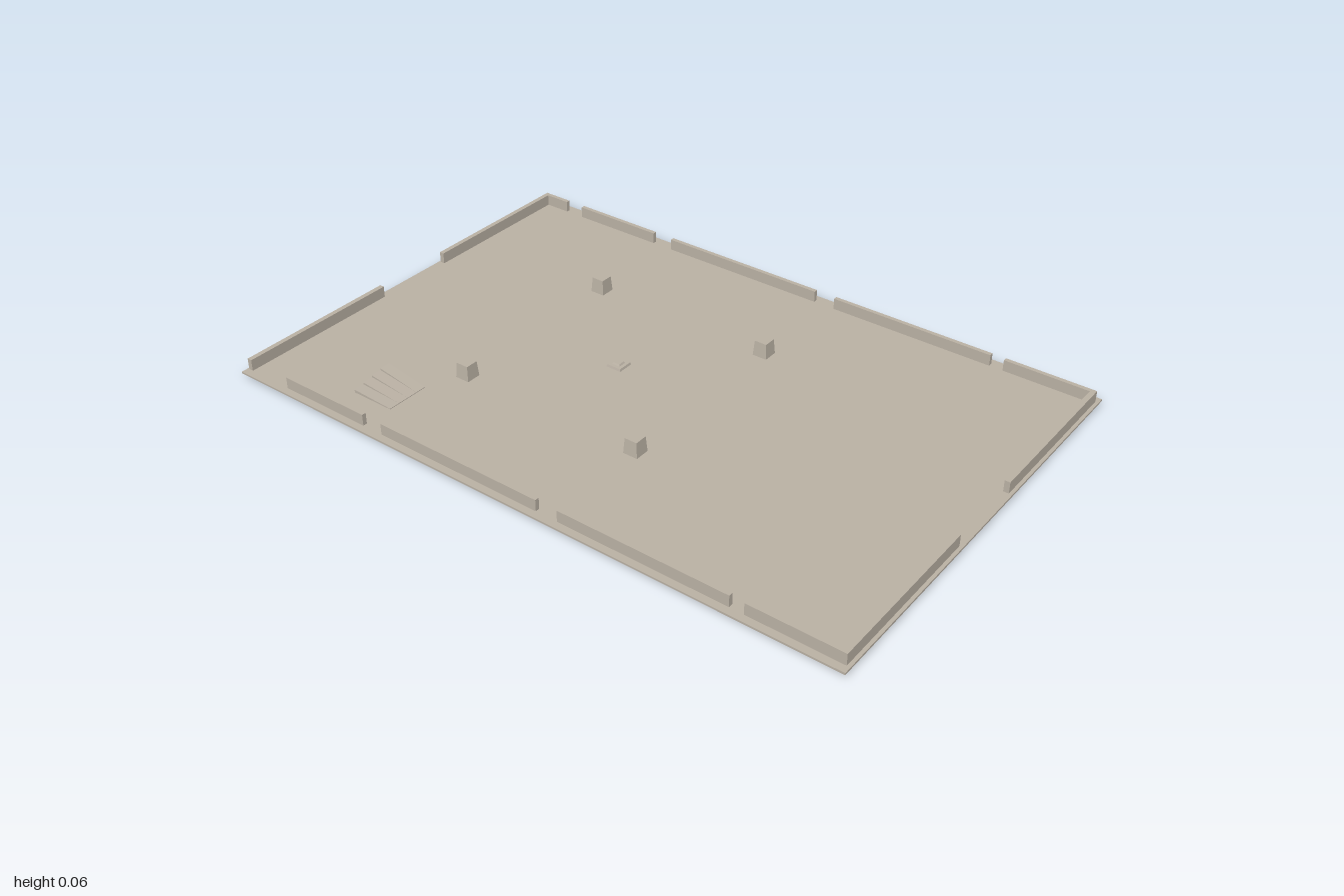
import * as THREE from 'three';

export function createModel() {
  const model = new THREE.Group();
  model.name = 'arenaFloor';
  const stone = new THREE.MeshStandardMaterial({ color: 0xb9b0a3 });
  stone.name = 'warm grey stone';
  const FLOOR = 0.018;

  const add = (name, geometry) => {
    const mesh = new THREE.Mesh(geometry, stone);
    mesh.name = name;
    model.add(mesh);
    return mesh;
  };
  // Box given by its limits on each axis
  const block = (name, x0, x1, y0, y1, z0, z1) =>
    add(name, new THREE.BoxGeometry(x1 - x0, y1 - y0, z1 - z0))
      .position.set((x0 + x1) / 2, (y0 + y1) / 2, (z0 + z1) / 2);
  // Square block that narrows from base to top
  const taper = (name, base, top, y0, y1, x, z) => {
    const g = new THREE.CylinderGeometry(top / Math.SQRT2, base / Math.SQRT2, y1 - y0, 4, 1).toNonIndexed();
    g.rotateY(Math.PI / 4);
    g.computeVertexNormals();
    add(name, g).position.set(x, (y0 + y1) / 2, z);
  };

  block('floorSlab', -0.67, 0.67, 0.012, FLOOR, -1, 1);

  // Low perimeter walls with openings
  const WALL = 0.053;
  for (const s of [-1, 1]) {
    const xs = [0.13 * s, 0.648 * s].sort((a, b) => a - b);
    block('frontWall', ...xs, FLOOR, WALL, 0.974, 0.99);
    block('backWall', ...xs, FLOOR, WALL, -0.994, -0.979);
    const spans = [[-0.833, -0.532], [-0.463, 0.082], [0.151, 0.672], [0.714, 0.974]];
    if (s > 0) spans.push([-0.979, -0.897]);
    const sx = [0.635 * s, 0.648 * s].sort((a, b) => a - b);
    for (const [z0, z1] of spans) block('sideWall', ...sx, FLOOR, WALL, z0, z1);
  }

  // Four slightly tapered pillars
  for (const x of [-0.3, 0.3])
    for (const z of [-0.475, 0.125]) taper('pillar', 0.046, 0.039, FLOOR, 0.065, x, z);

  // Stepped ramp: strips that rise towards the back right corner
  const steps = 4, rampX = -0.55, stepWidth = 0.135 / steps;
  for (let i = 0; i < steps; i++) {
    const rise = 0.009 + 0.006 * i;
    const profile = new THREE.Shape();
    profile.moveTo(0.53, 0);
    profile.lineTo(0.668, 0);
    profile.lineTo(0.668, rise);
    profile.lineTo(0.53, 0.002);
    const g = new THREE.ExtrudeGeometry(profile, { depth: stepWidth, bevelEnabled: false });
    g.rotateY(Math.PI / 2); // profile length now runs along -z, thickness along +x
    add('rampStep', g).position.set(rampX + i * stepWidth, FLOOR, 0);
  }

  // Central pedestal and the plate beneath the slab
  taper('pedestalBase', 0.05, 0.046, FLOOR, 0.025, 0, -0.17);
  taper('pedestalCap', 0.026, 0.02, 0.025, 0.03, 0, -0.17);
  block('undersidePlate', -0.046, 0.046, 0, 0.012, -0.216, -0.124);

  return model;
}
